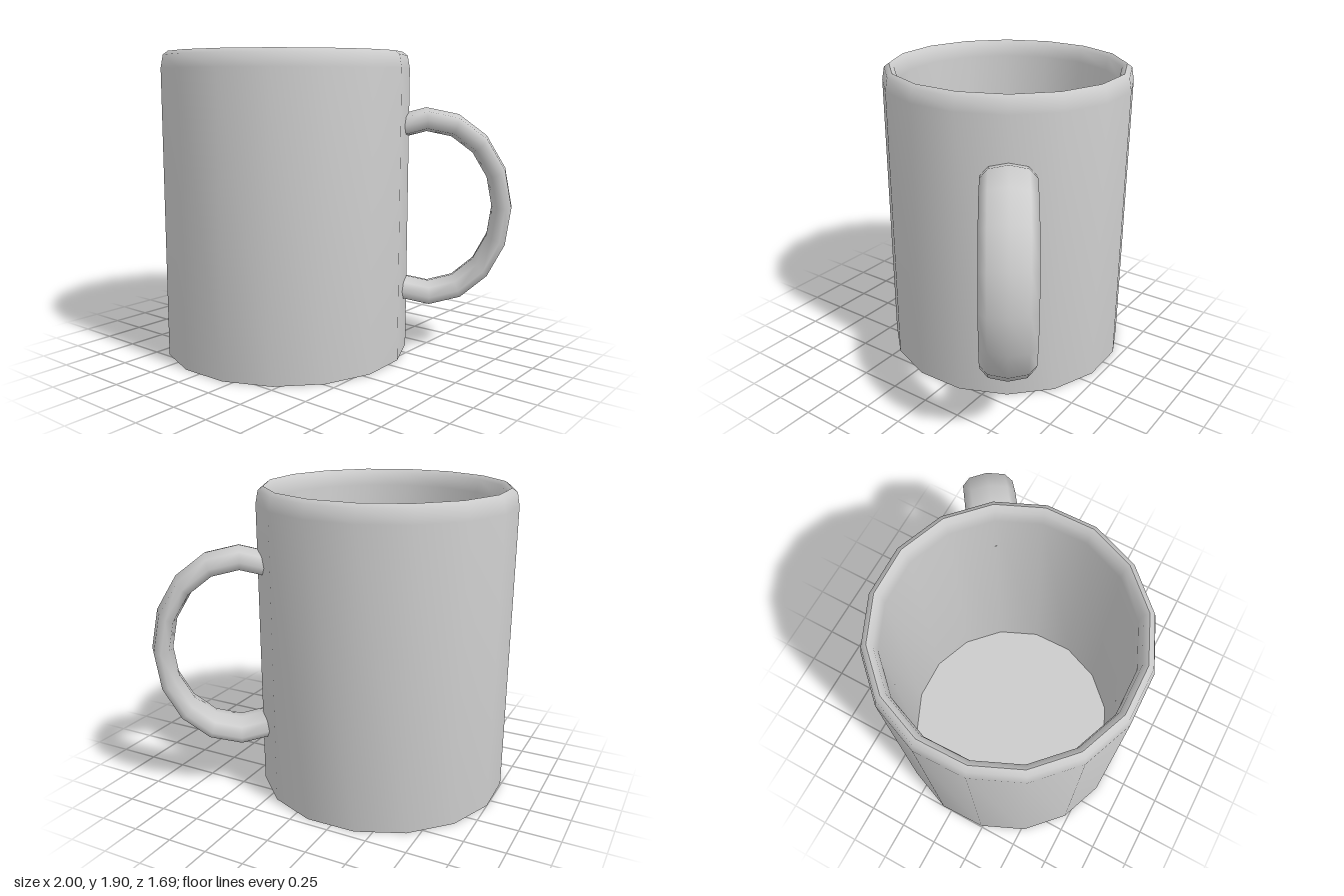
import * as THREE from 'three';
import { toCreasedNormals } from 'three/addons/utils/BufferGeometryUtils.js';

export function createModel() {
  const mug = new THREE.Group();
  mug.name = 'mug';
  const material = new THREE.MeshStandardMaterial({ color: 0xcccccc });

  // Hollow cup: base, outer wall, rounded rim, inner wall, floor
  const profile = [
    [0, 0], [0.782, 0], [0.782, 1.8], [0.767, 1.88], [0.736, 1.903],
    [0.705, 1.88], [0.69, 1.8], [0.69, 0.1], [0, 0.1],
  ].map(([r, y]) => new THREE.Vector2(r, y));
  const cup = new THREE.Mesh(toCreasedNormals(new THREE.LatheGeometry(profile, 16), 1.2), material);
  cup.name = 'cup';
  mug.add(cup);

  // Handle: wide, flattened partial ring whose ends stop inside the cup wall
  const arc = Math.PI * 1.25;
  const ring = new THREE.TorusGeometry(0.56, 0.075, 8, 10, arc);
  ring.rotateZ(-arc / 2);
  const handle = new THREE.Mesh(ring, material);
  handle.name = 'handle';
  handle.scale.set(0.84, 1, 2.11);
  handle.rotation.z = 0.027;
  handle.position.set(0.907, 0.925, 0);
  mug.add(handle);

  // Handle points to the back left
  mug.rotation.y = THREE.MathUtils.degToRad(35);
  mug.position.set(-0.23, 0, 0.07);

  const model = new THREE.Group();
  model.add(mug);
  return model;
}
